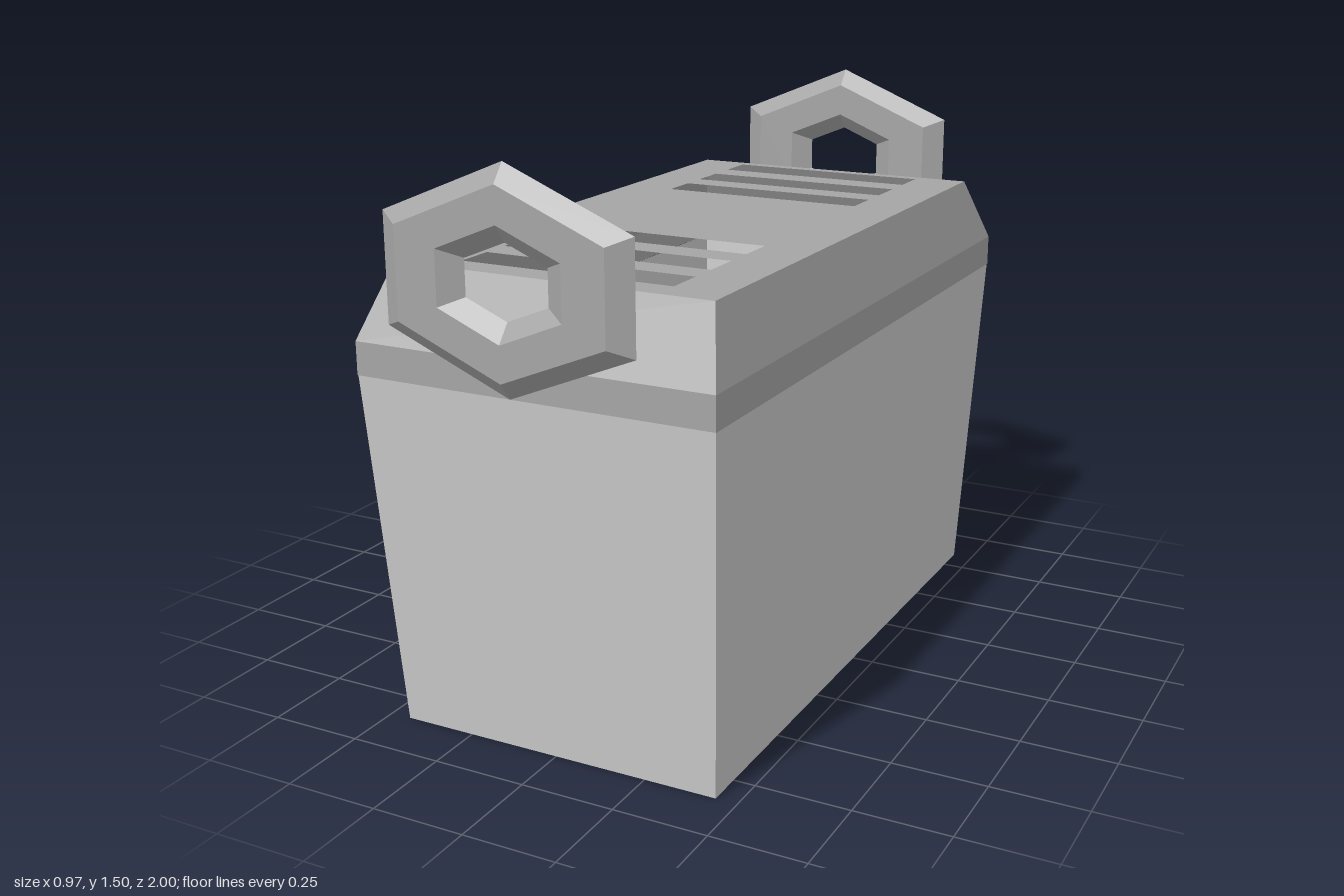
import * as THREE from 'three';

const bodyGrey = new THREE.MeshStandardMaterial({ color: 0xcacaca, flatShading: true, side: THREE.DoubleSide });
bodyGrey.name = 'light grey';
const trimGrey = new THREE.MeshStandardMaterial({ color: 0xa5a5a5, flatShading: true, side: THREE.DoubleSide });
trimGrey.name = 'mid grey';

// Open four-sided shell through rectangular sections [y, halfWidth, halfDepth]
function rectShell(sections) {
  const pos = [];
  const corner = ([y, w, d], i) => [[w, y, d], [w, y, -d], [-w, y, -d], [-w, y, d]][i % 4];
  for (let s = 0; s < sections.length - 1; s++) {
    for (let i = 0; i < 4; i++) {
      const a = corner(sections[s], i), b = corner(sections[s], i + 1);
      const c = corner(sections[s + 1], i + 1), d = corner(sections[s + 1], i);
      pos.push(...a, ...b, ...c, ...a, ...c, ...d);
    }
  }
  const geo = new THREE.BufferGeometry();
  geo.setAttribute('position', new THREE.Float32BufferAttribute(pos, 3));
  geo.computeVertexNormals();
  return geo;
}

function add(parent, name, geo, mat) {
  const mesh = new THREE.Mesh(geo, mat);
  mesh.name = name;
  parent.add(mesh);
  return mesh;
}

function rectPath(path, x0, x1, y0, y1) {
  path.moveTo(x0, y0).lineTo(x1, y0).lineTo(x1, y1).lineTo(x0, y1).closePath();
  return path;
}

export function createModel() {
  const model = new THREE.Group();
  model.name = 'container';

  // Hollow tapered tub
  const body = new THREE.Group();
  body.name = 'body';
  body.position.z = 0.004;
  model.add(body);
  add(body, 'bodyWalls', rectShell([[0, 0.443, 0.842], [0.94, 0.482, 0.918]]), bodyGrey);
  add(body, 'bodyFloor', new THREE.PlaneGeometry(0.886, 1.684).rotateX(Math.PI / 2), bodyGrey);

  // Lid with upright rim, sloping sides and a slotted top
  const lid = new THREE.Group();
  lid.name = 'lid';
  lid.position.z = 0.004;
  model.add(lid);
  add(lid, 'lidSides', rectShell([[0.94, 0.483, 0.92], [1.025, 0.483, 0.92], [1.206, 0.431, 0.822]]), trimGrey);
  const top = rectPath(new THREE.Shape(), -0.431, 0.431, -0.822, 0.822);
  for (const z of [-0.737, -0.55, -0.367, 0.318, 0.507, 0.691]) {
    top.holes.push(rectPath(new THREE.Path(), -0.29, 0.287, -z - 0.053, -z + 0.053));
  }
  const lidTop = add(lid, 'lidTop', new THREE.ShapeGeometry(top).rotateX(-Math.PI / 2), trimGrey);
  lidTop.position.y = 1.206;

  // Flattened hexagonal ring handles at both ends
  const ring = new THREE.TorusGeometry(2 / 3, 1 / 3, 6, 6)
    .rotateZ(Math.PI / 6)
    .scale(0.381, 0.272, 0.125);
  for (const side of [1, -1]) {
    const handle = add(model, side > 0 ? 'frontHandle' : 'backHandle', ring, trimGrey);
    handle.position.set(-0.02, 1.227, side * 0.964);
  }
  return model;
}
